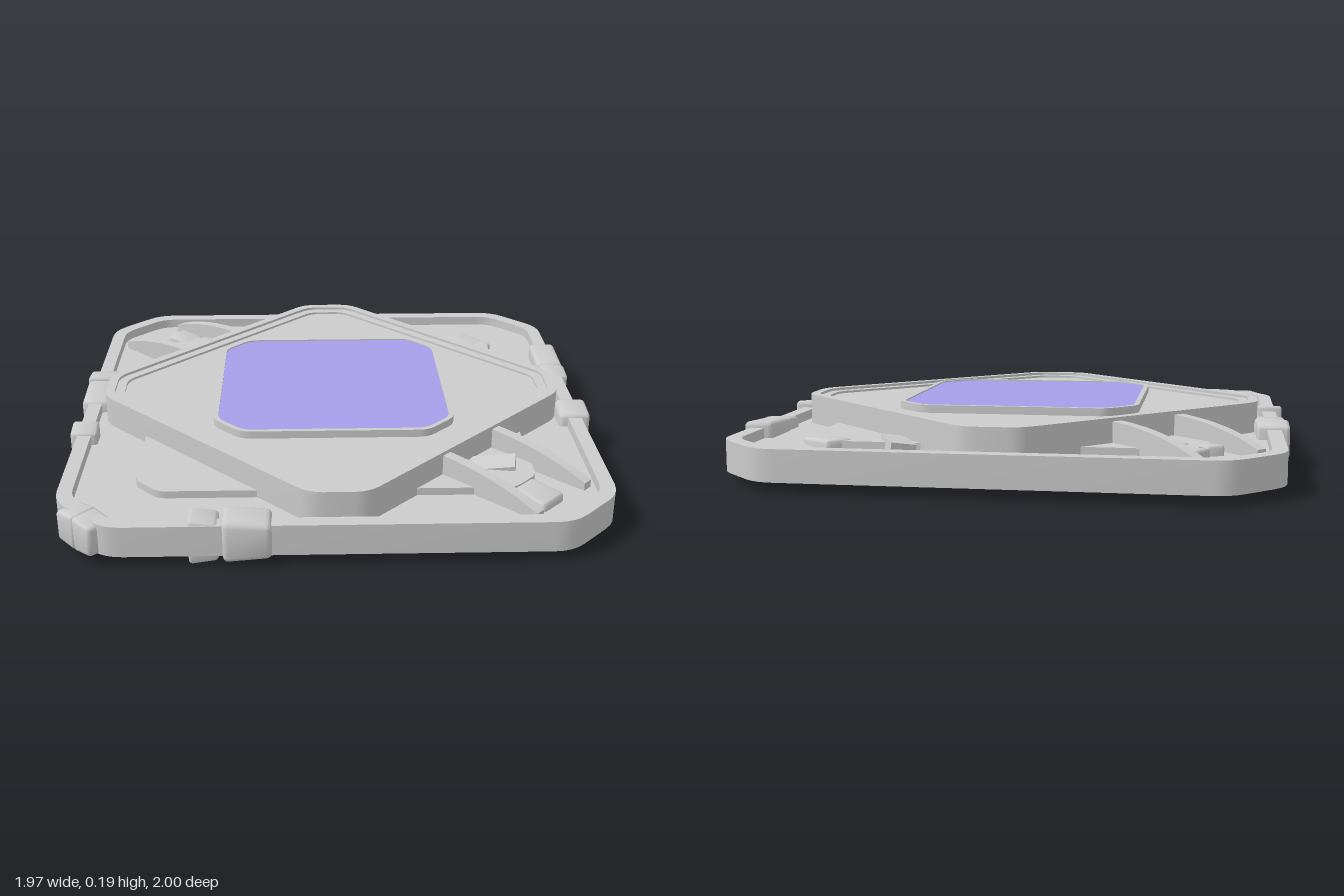
import * as THREE from 'three';
import { toCreasedNormals } from 'three/addons/utils/BufferGeometryUtils.js';
import { RoundedBoxGeometry } from 'three/addons/geometries/RoundedBoxGeometry.js';

const grey = new THREE.MeshStandardMaterial({ color: 0xcccccc, side: THREE.DoubleSide });
const violet = new THREE.MeshStandardMaterial({ color: 0xa59ee8 });

// Square outline with cut, softened corners; counter-clockwise from above.
function outline(h, cut) {
  const pts = [];
  const corners = [];
  for (let k = 0; k < 4; k++) {
    const a = k * Math.PI / 2, c = Math.cos(a), s = Math.sin(a);
    for (const [x, y] of [[h, h - cut], [h - cut, h]]) corners.push(new THREE.Vector2(x * c - y * s, x * s + y * c));
  }
  corners.forEach((p, i) => {
    const prev = corners[(i + 7) % 8], next = corners[(i + 1) % 8];
    const r = cut * 0.35;
    const a = p.clone().add(prev.clone().sub(p).setLength(r));
    const b = p.clone().add(next.clone().sub(p).setLength(r));
    pts.push(...new THREE.QuadraticBezierCurve(a, p, b).getPoints(4));
  });
  return pts;
}

// Sweeps a profile of [inset, y] around the outline; inset null is the centre.
function loft(h, cut, profile) {
  const rings = profile.map(([inset, y]) => {
    const base = outline(h - (inset ?? 0), Math.max(cut - 0.586 * (inset ?? 0), Math.min(cut, 0.07)));
    return base.map(p => inset === null ? [0, y, 0] : [p.x, y, -p.y]);
  });
  const pos = [];
  for (let j = 0; j < rings.length - 1; j++) {
    const n = rings[j].length;
    for (let i = 0; i < n; i++) {
      const k = (i + 1) % n;
      const a = rings[j][i], b = rings[j][k], c = rings[j + 1][k], d = rings[j + 1][i];
      pos.push(...a, ...b, ...c);
      if (profile[j + 1][0] !== null) pos.push(...a, ...c, ...d);
    }
  }
  const g = new THREE.BufferGeometry();
  g.setAttribute('position', new THREE.Float32BufferAttribute(pos, 3));
  return toCreasedNormals(g, 0.4);
}

// Chunky block: rounded box tapered along its length and pinched at top and bottom.
function chunk(w, h, d) {
  const g = new RoundedBoxGeometry(w, h, d, 2, Math.min(w, h, d) * 0.14);
  const p = g.attributes.position;
  for (let i = 0; i < p.count; i++) {
    const u = p.getX(i) / w * 2, v = p.getY(i) / h * 2;
    p.setY(i, p.getY(i) * (1 - 0.1 * u));
    p.setZ(i, p.getZ(i) * (1 - 0.08 * v * v));
  }
  return toCreasedNormals(g, 0.6);
}

export function createModel() {
  const group = new THREE.Group();
  const body = new THREE.Group();
  body.name = 'body';
  body.position.z = -0.013;
  group.add(body);
  const add = (parent, name, geometry, material = grey) => {
    const m = new THREE.Mesh(geometry, material);
    m.name = name;
    parent.add(m);
    return m;
  };

  // Diamond tray: thin open-bottomed shell with rim, sunken floor and raised middle
  add(body, 'diamondTray', loft(0.771, 0.148, [
    [0, 0.03], [0, 0.12], [0.042, 0.12], [0.042, 0.09], [0.205, 0.09], [0.205, 0.112], [null, 0.112],
  ])).rotation.y = Math.PI / 4;

  // Square platform: thin deep walls and a stepped lip
  add(body, 'squarePlatform', loft(0.557, 0.115, [
    [0, 0.03], [0, 0.182], [0.028, 0.182], [0.028, 0.174], [0.057, 0.174], [0.057, 0.167], [null, 0.167],
  ]));

  // Central diamond panel and its frame
  add(body, 'panelFrame', loft(0.358, 0.085, [
    [0, 0.16], [0, 0.19], [0.014, 0.19], [0.014, 0.16],
  ])).rotation.y = Math.PI / 4;
  add(body, 'panel', loft(0.345, 0.077, [
    [0, 0.16], [0, 0.186], [null, 0.186],
  ]), violet).rotation.y = Math.PI / 4;

  // Arched ribs bracing the platform on both sides
  const rib = new THREE.Shape();
  rib.moveTo(0.55, 0.03);
  rib.lineTo(0.88, 0.03);
  rib.lineTo(0.88, 0.113);
  rib.quadraticCurveTo(0.74, 0.168, 0.55, 0.172);
  const ribGeometry = new THREE.ExtrudeGeometry(rib, { depth: 0.032, bevelEnabled: false, curveSegments: 10 });
  ribGeometry.translate(0, 0, -0.016);
  for (const turn of [0, Math.PI]) {
    for (const z of [-0.115, 0.115]) {
      const pivot = new THREE.Group();
      pivot.rotation.y = turn;
      add(pivot, 'rib', ribGeometry).position.z = z;
      body.add(pivot);
    }
  }

  // Blocks clamped on the rim: x, z, length, depth, bottom, top, turn in degrees
  const rimBlocks = [
    [0.29, -0.78, 0.16, 0.09, 0.04, 0.138, -45],
    [0.38, -0.695, 0.08, 0.09, 0.04, 0.13, -45],
    [0.6, -0.475, 0.1, 0.1, 0.02, 0.142, -45],
    [0.35, 0.68, 0.13, 0.11, 0.015, 0.14, 45],
    [0.26, 0.755, 0.08, 0.09, 0, 0.135, 45],
    [-0.025, 0.957, 0.075, 0.086, 0.02, 0.125, 180],
    [0.045, 0.957, 0.075, 0.086, 0.02, 0.125, 0],
    [-0.39, 0.66, 0.07, 0.085, 0.005, 0.14, -45],
    [-0.575, 0.465, 0.15, 0.1, 0.005, 0.138, -45],
    [-0.665, 0.38, 0.08, 0.1, 0.025, 0.142, 135],
  ];
  // Blocks stuck through the tray floor
  const floorBlocks = [
    [-0.01, -0.735, 0.15, 0.085, 0.03, 0.118, 0],
    [-0.635, -0.045, 0.14, 0.125, 0.03, 0.125, 180],
    [-0.77, -0.06, 0.09, 0.085, 0.04, 0.12, 8],
    [-0.755, 0.035, 0.075, 0.055, 0.04, 0.12, -20],
    [0.815, 0.02, 0.11, 0.105, 0.02, 0.125, 0],
  ];
  const place = (name, list) => list.forEach(([x, z, w, d, y0, y1, turn]) => {
    const m = add(group, name, chunk(w, (y1 - y0) / 1.1, d));
    m.position.set(x, (y0 + y1) / 2, z);
    m.rotation.y = THREE.MathUtils.degToRad(turn);
  });
  place('rimBlock', rimBlocks);
  place('floorBlock', floorBlocks);

  // Tilted slabs that just break the floor
  for (const [x, z, turn] of [[-0.19, -0.61, -18], [0.62, -0.03, 35]]) {
    const m = add(group, 'slab', new THREE.BoxGeometry(0.14, 0.04, 0.07));
    m.position.set(x, 0.1, z);
    m.rotation.set(0.15, THREE.MathUtils.degToRad(turn), 0.08);
  }
  return group;
}
